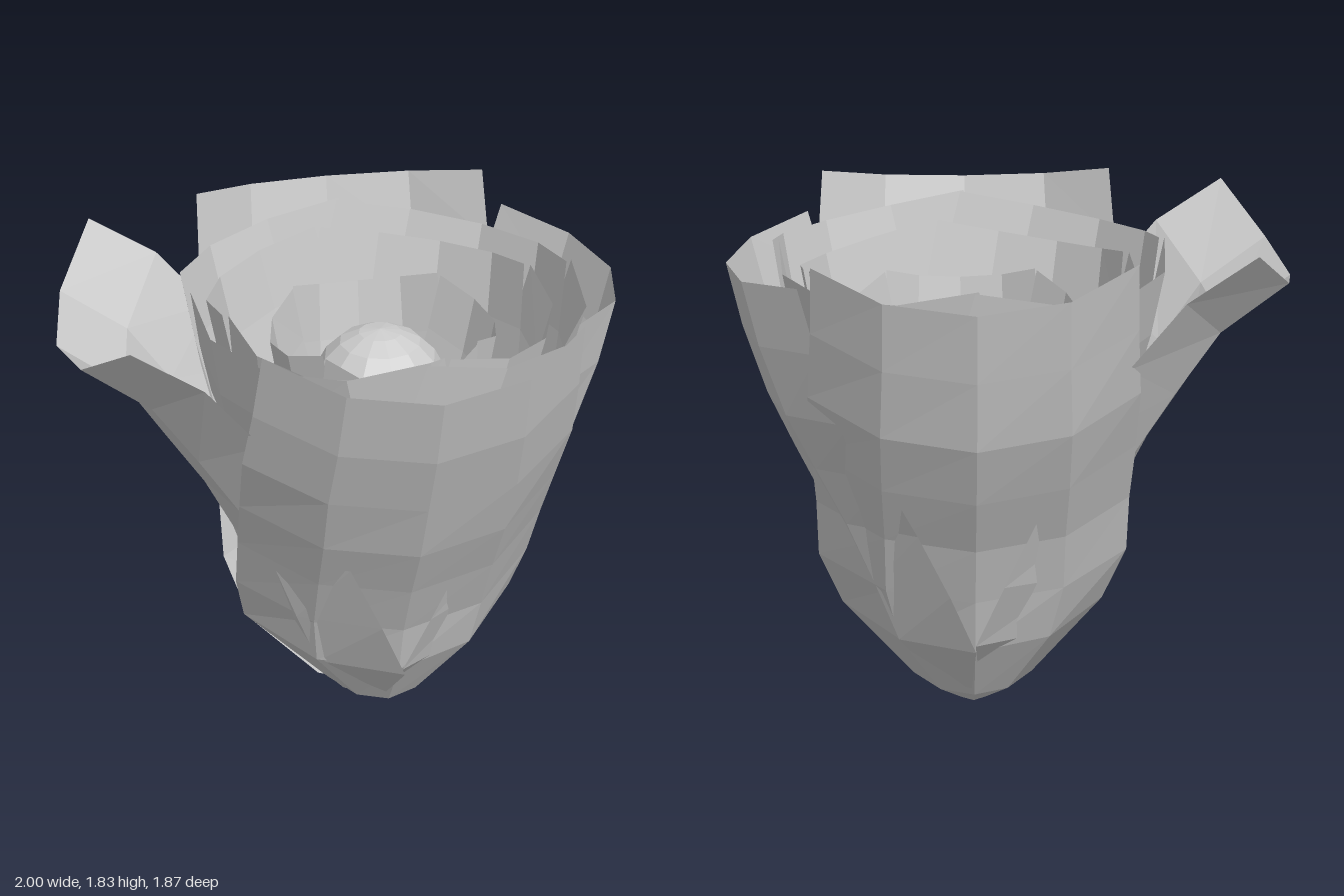
import * as THREE from 'three';

const petalMat = new THREE.MeshStandardMaterial({ color: 0xcccccc, flatShading: true, side: THREE.DoubleSide });
const HALF = THREE.MathUtils.degToRad(55);
const COLS = 4;

// Each row: [height, reach of the centre line, half width, depth of the cup, lift of the side edges]
const upright = [
  [0.05, 0.04, 0.08, 0.04, 0.02],
  [0.10, 0.20, 0.20, 0.16, 0.02],
  [0.34, 0.36, 0.51, 0.36, 0.08],
  [0.55, 0.42, 0.55, 0.34, 0.07],
  [0.78, 0.53, 0.56, 0.33, 0.08],
  [1.00, 0.65, 0.57, 0.33, 0.08],
  [1.24, 0.75, 0.58, 0.29, 0.09],
  [1.48, 0.85, 0.56, 0.28, 0.09],
  [1.74, 0.93, 0.54, 0.27, 0.09],
];
const back = [
  [0.00, 0.13, 0.08, 0.07, 0.02],
  [0.08, 0.25, 0.22, 0.20, 0.00],
  [0.33, 0.42, 0.48, 0.38, 0.04],
  [0.55, 0.49, 0.56, 0.36, 0.05],
  [0.78, 0.58, 0.56, 0.36, 0.06],
  [1.00, 0.70, 0.57, 0.36, 0.08],
  [1.23, 0.81, 0.57, 0.33, 0.09],
  [1.49, 0.88, 0.55, 0.29, 0.09],
  [1.74, 0.94, 0.54, 0.27, 0.09],
];
const left = [
  [0.05, 0.04, 0.08, 0.04, 0.02],
  [0.10, 0.17, 0.22, 0.16, 0.02],
  [0.33, 0.37, 0.48, 0.37, 0.05],
  [0.56, 0.45, 0.52, 0.36, 0.05],
  [0.79, 0.54, 0.52, 0.34, 0.05],
  [1.00, 0.64, 0.53, 0.33, 0.05],
  [1.20, 0.73, 0.53, 0.30, 0.05],
  [1.45, 0.81, 0.52, 0.28, 0.05],
  [1.68, 0.86, 0.51, 0.27, 0.05],
];
const flared = [
  [0.05, 0.04, 0.08, 0.04, 0.02],
  [0.10, 0.20, 0.21, 0.18, 0.02],
  [0.33, 0.38, 0.47, 0.38, 0.05],
  [0.55, 0.46, 0.53, 0.36, 0.08],
  [0.80, 0.54, 0.55, 0.32, 0.10],
  [1.00, 0.64, 0.55, 0.28, 0.17],
  [1.20, 0.77, 0.55, 0.25, 0.23],
  [1.42, 0.91, 0.55, 0.20, 0.24],
  [1.60, 1.14, 0.545, 0.19, 0.22],
];

// A cupped petal facing +z, lofted through arc-shaped rows
function petalGeometry(rows) {
  const pos = [], idx = [];
  for (const [y, reach, half, cup, lift] of rows) {
    for (let i = 0; i <= COLS; i++) {
      const t = (i / COLS) * 2 - 1;
      const bow = (1 - Math.cos(t * HALF)) / (1 - Math.cos(HALF));
      pos.push(half * Math.sin(t * HALF) / Math.sin(HALF), y + lift * bow, reach - cup * bow);
    }
  }
  for (let r = 0; r < rows.length - 1; r++) {
    for (let i = 0; i < COLS; i++) {
      const a = r * (COLS + 1) + i, b = a + COLS + 1;
      idx.push(a, a + 1, b + 1, a, b + 1, b);
    }
  }
  const g = new THREE.BufferGeometry();
  g.setAttribute('position', new THREE.Float32BufferAttribute(pos, 3));
  g.setIndex(idx);
  g.computeVertexNormals();
  return g;
}

function addPetal(parent, name, rows, angle, x, z) {
  const m = new THREE.Mesh(petalGeometry(rows), petalMat);
  m.name = name;
  m.rotation.y = THREE.MathUtils.degToRad(angle);
  m.position.set(x, 0, z);
  parent.add(m);
}

// Smaller upright petal for the inner rings, narrowing towards its foot
function innerRows(reach, width, top) {
  const base = 0.1;
  return upright.map(([y, d, w, c, l]) => {
    const side = width * Math.min(1, 0.75 + 0.28 * y);
    return [base + (y - 0.05) * (top - base) / 1.69, d * reach, w * side, c * side, l * 0.75];
  });
}

export function createModel() {
  const flower = new THREE.Group();
  flower.name = 'flower';

  // Four large outer petals, one curling outwards
  const outer = new THREE.Group();
  outer.name = 'outerPetals';
  addPetal(outer, 'frontPetal', upright, 0, 0.14, 0);
  addPetal(outer, 'backPetal', back, 180, 0.14, 0);
  addPetal(outer, 'leftPetal', left, 90, 0.14, -0.06);
  addPetal(outer, 'flaredPetal', flared, -90, 0.14, -0.015);
  flower.add(outer);

  // Nested inner rings, staggered: [name, reach, width, top, turn, x, z]
  const rings = [
    ['thirdRing', 0.79, 0.9, 1.68, 45, 0.145, -0.02],
    ['secondRing', 0.67, 0.74, 1.61, 55, 0.15, -0.06],
    ['firstRing', 0.46, 0.5, 1.5, 0, 0.17, -0.08],
  ];
  for (const [name, reach, width, top, turn, x, z] of rings) {
    const ring = new THREE.Group();
    ring.name = name;
    for (let i = 0; i < 4; i++) {
      const tuck = i % 2 ? 0.96 : 1;
      addPetal(ring, 'innerPetal', innerRows(reach * tuck, width, top), turn + i * 90, x, z);
    }
    flower.add(ring);
  }

  // Round bud in the heart
  const bud = new THREE.Mesh(new THREE.SphereGeometry(0.25, 12, 10), petalMat);
  bud.name = 'bud';
  bud.position.set(0.16, 1.26, -0.085);
  flower.add(bud);

  return flower;
}
